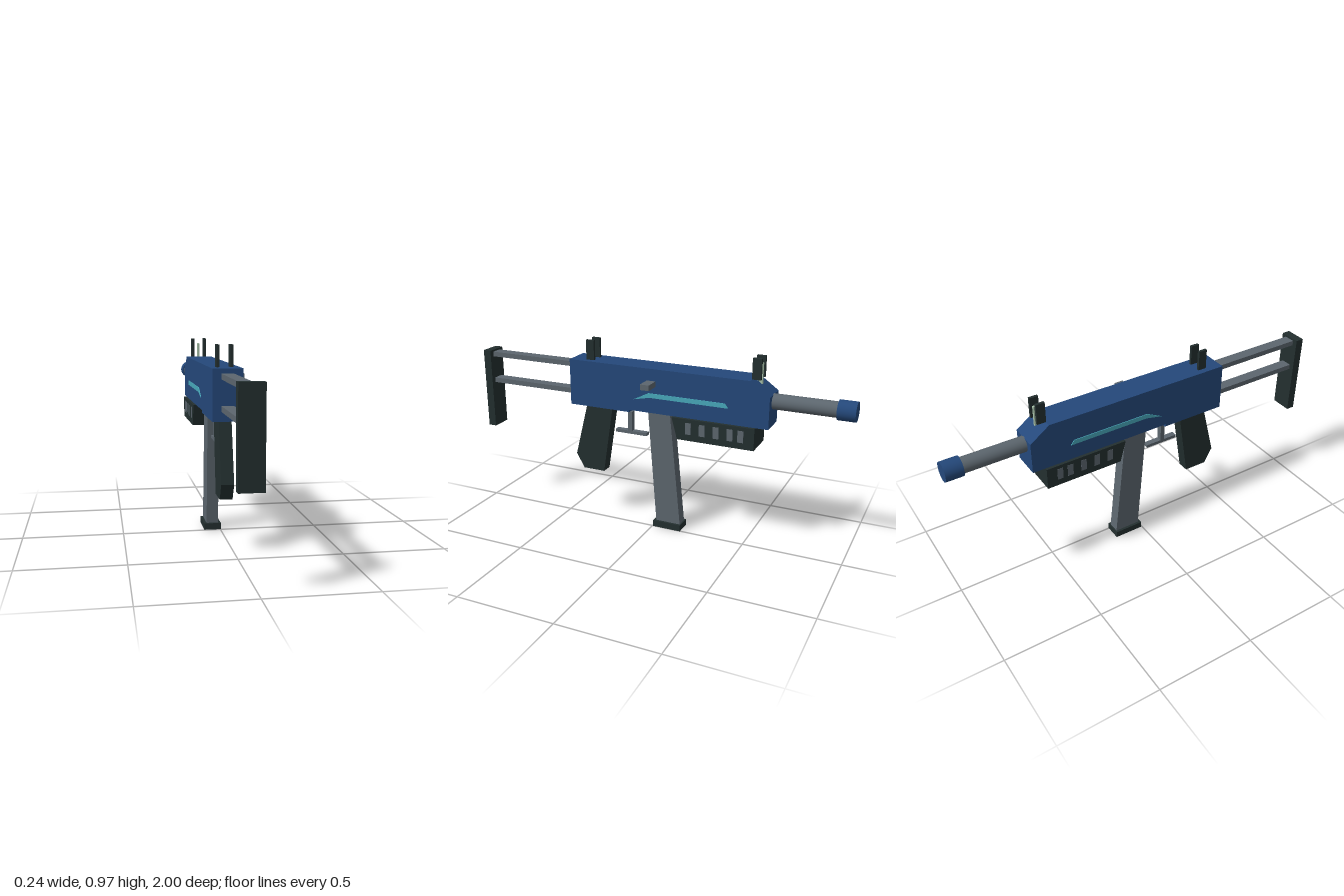
import * as THREE from 'three';

const CX = -0.04; // centre plane of the body

const mat = (name, color) => {
  const m = new THREE.MeshStandardMaterial({ color });
  m.name = name;
  return m;
};

export function createModel() {
  const blue = mat('blue', 0x24487a);
  const dark = mat('charcoal', 0x232f2f);
  const grey = mat('steel grey', 0x5c666e);
  const cyan = mat('cyan', 0x48a8ba);
  const green = mat('pale green', 0xa6c0a8);

  const group = new THREE.Group();
  const add = (name, geometry, material) => {
    const mesh = new THREE.Mesh(geometry, material);
    mesh.name = name;
    group.add(mesh);
    return mesh;
  };

  // Box from its limits on each axis
  const box = (name, material, [x0, x1], [y0, y1], [z0, z1]) =>
    add(name, new THREE.BoxGeometry(x1 - x0, y1 - y0, z1 - z0), material)
      .position.set((x0 + x1) / 2, (y0 + y1) / 2, (z0 + z1) / 2);

  // Side profile given as [z, y], extruded across x
  const slab = (name, material, points, width, x = CX) => {
    const shape = new THREE.Shape(points.map(([z, y]) => new THREE.Vector2(-z, y)));
    const g = new THREE.ExtrudeGeometry(shape, { depth: width, bevelEnabled: false });
    g.translate(0, 0, -width / 2).rotateY(Math.PI / 2);
    add(name, g, material).position.x = x;
  };

  // Cylinder lying along z
  const tube = (name, material, r, z0, z1) => {
    const g = new THREE.CylinderGeometry(r, r, z1 - z0, 24).rotateX(Math.PI / 2);
    add(name, g, material).position.set(CX, 0.762, (z0 + z1) / 2);
  };

  // Body with chamfered nose
  slab('body', blue, [[0.453, 0.628], [0.453, 0.867], [-0.512, 0.867], [-0.61, 0.797],
    [-0.61, 0.64], [0.12, 0.64], [0.115, 0.628]], 0.14);

  // Barrel
  tube('barrel', grey, 0.038, -0.93, -0.59);
  tube('muzzle', blue, 0.048, -1, -0.914);

  // Fore-end, grip and magazine
  slab('foreEnd', dark, [[-0.122, 0.638], [-0.152, 0.528], [-0.547, 0.528], [-0.547, 0.638]], 0.164);
  slab('grip', dark, [[0.377, 0.635], [0.453, 0.338], [0.41, 0.26], [0.289, 0.26], [0.23, 0.635]], 0.06);
  slab('magazine', grey, [[0.03, 0.645], [-0.018, 0.03], [-0.152, 0.03], [-0.09, 0.645]], 0.06);
  box('magazineFoot', dark, [-0.083, 0.003], [0, 0.033], [-0.158, -0.005]);

  // Painted stripes and vents on both sides
  for (const side of [-1, 1]) {
    slab('stripe', cyan, [[0.09, 0.7], [0.008, 0.742], [-0.393, 0.742], [-0.41, 0.719], [0.004, 0.719]],
      0.005, CX + side * 0.071);
    for (const z of [-0.21, -0.282, -0.354, -0.425, -0.479])
      slab('vent', grey, [[z + 0.015, 0.56], [z + 0.015, 0.62], [z - 0.015, 0.62], [z - 0.015, 0.56]],
        0.003, CX + side * 0.0815);
  }

  // Stock: two flat rods and a shoulder plate
  box('stockPlate', dark, [-0.095, 0.014], [0.427, 0.854], [0.957, 1]);
  for (const y of [0.686, 0.831])
    box('stockRod', grey, [-0.069, -0.012], [y - 0.013, y + 0.013], [0.44, 0.965]);

  // Trigger and guard bar
  box('trigger', grey, [-0.055, -0.025], [0.5, 0.61], [0.128, 0.15]);
  box('guardBar', grey, [-0.055, -0.025], [0.49, 0.506], [0.046, 0.222]);

  // Charging handle on the left side
  box('chargingHandle', grey, [0.042, 0.12], [0.782, 0.81], [-0.035, 0.012]);

  // Paired sight posts, with a bead between the far pair
  for (const z of [0.35, -0.532])
    for (const x of [-0.072, -0.008])
      box('sightPost', dark, [x - 0.007, x + 0.007], [0.866, 0.969], [z - 0.022, z + 0.022]);
  box('sightBead', green, [-0.047, -0.035], [0.84, 0.941], [-0.552, -0.528]);

  return group;
}
